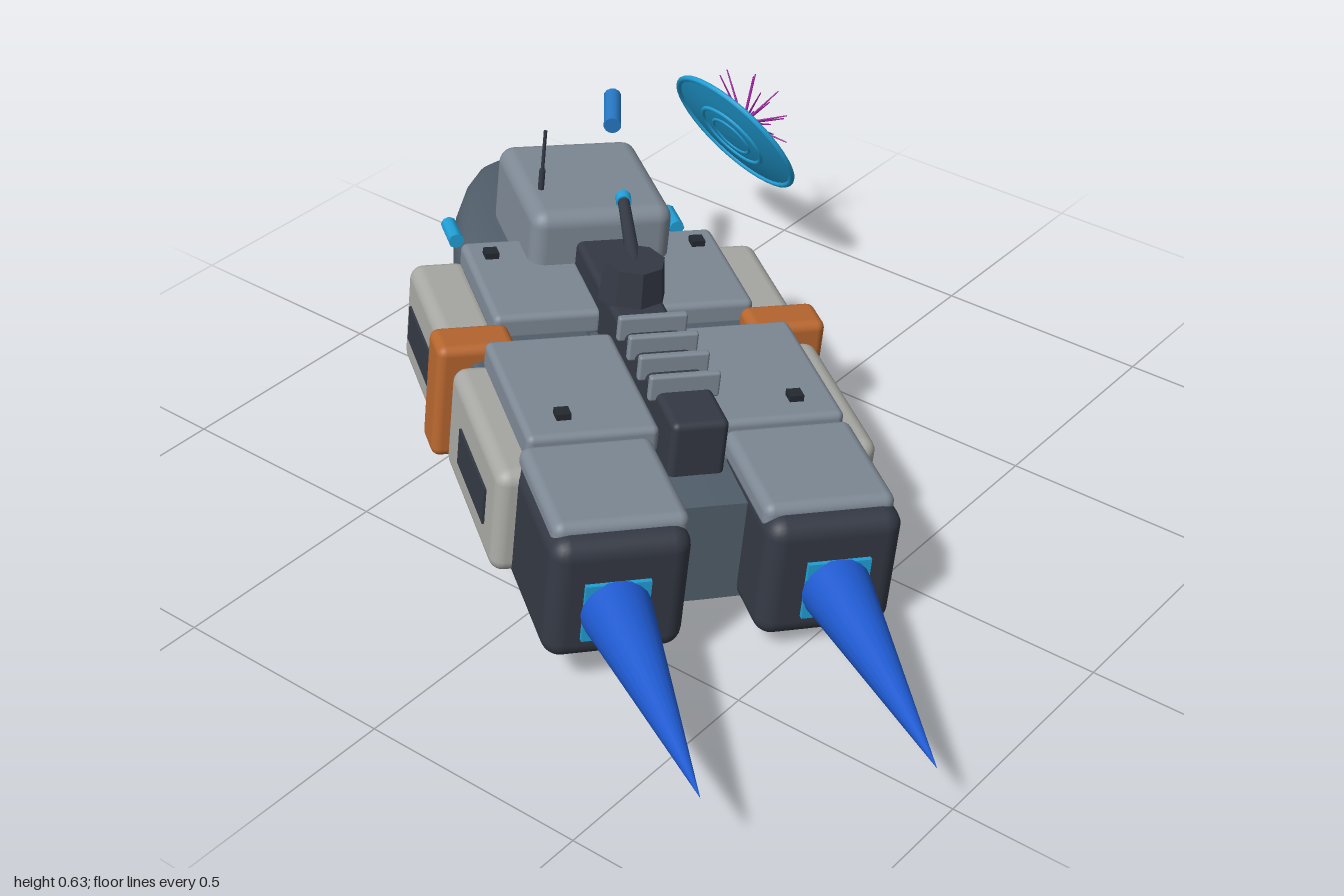
import * as THREE from 'three';
import { RoundedBoxGeometry } from 'three/addons/geometries/RoundedBoxGeometry.js';

const mat = (name, color, side = THREE.FrontSide) => {
  const m = new THREE.MeshStandardMaterial({ color, side });
  m.name = name;
  return m;
};

// Lofted hull: soft-cornered sections [z, halfWidth, bottom, top], rear to nose
function hullGeometry(sections, n = 32) {
  const pos = [], idx = [];
  const soft = (t) => Math.sign(t) * Math.pow(Math.abs(t), 0.5);
  const ring = ([z, hw, y0, y1]) => {
    for (let j = 0; j < n; j++) {
      const t = (j / n) * Math.PI * 2;
      pos.push(hw * soft(Math.cos(t)), (y0 + y1) / 2 + ((y1 - y0) / 2) * soft(Math.sin(t)), z);
    }
  };
  sections.forEach(ring);
  for (let i = 0; i < sections.length - 1; i++) {
    for (let j = 0; j < n; j++) {
      const a = i * n + j, b = i * n + ((j + 1) % n), c = a + n, d = b + n;
      idx.push(a, c, b, b, c, d);
    }
  }
  // end caps with their own vertices
  [sections[0], sections[sections.length - 1]].forEach((s, k) => {
    const base = pos.length / 3;
    ring(s);
    pos.push(0, (s[2] + s[3]) / 2, s[0]);
    for (let j = 0; j < n; j++) {
      const a = base + j, b = base + ((j + 1) % n);
      k ? idx.push(base + n, b, a) : idx.push(base + n, a, b);
    }
  });
  const g = new THREE.BufferGeometry();
  g.setAttribute('position', new THREE.Float32BufferAttribute(pos, 3));
  g.setIndex(idx);
  g.computeVertexNormals();
  return g;
}

export function createModel() {
  const hullGrey = mat('hull slate', 0x52606c);
  const deckGrey = mat('deck grey', 0x7f8a96);
  const panelGrey = mat('panel light grey', 0xa9a9a5);
  const dark = mat('engine charcoal', 0x343944);
  const black = mat('plate black', 0x252a32);
  const orange = mat('strap orange', 0xb8672f);
  const flameBlue = mat('flame blue', 0x1f5ad0);
  const cyan = mat('cyan', 0x22a0d8, THREE.DoubleSide);
  const tubeBlue = mat('tube blue', 0x2778c4);
  const purple = mat('purple', 0xa020a0);

  const model = new THREE.Group();
  model.name = 'spacecraft';
  const tilt = new THREE.Group();
  tilt.name = 'tiltedShip';
  tilt.rotation.order = 'YXZ';
  tilt.rotation.set(0, THREE.MathUtils.degToRad(-35), THREE.MathUtils.degToRad(-6));
  tilt.position.set(-0.092, 0.17, -0.064);
  const ship = new THREE.Group();
  ship.name = 'ship';
  ship.position.y = -0.17;
  tilt.add(ship);
  model.add(tilt);

  const add = (parent, name, geo, m, x = 0, y = 0, z = 0) => {
    const mesh = new THREE.Mesh(geo, m);
    mesh.name = name;
    mesh.position.set(x, y, z);
    parent.add(mesh);
    return mesh;
  };
  // box given by its limits on each axis, with rounded edges when r > 0
  const box = (name, m, [x0, x1], [y0, y1], [z0, z1], r = 0) => {
    const s = [x1 - x0, y1 - y0, z1 - z0];
    const geo = r ? new RoundedBoxGeometry(...s, 3, r) : new THREE.BoxGeometry(...s);
    return add(ship, name, geo, m, (x0 + x1) / 2, (y0 + y1) / 2, (z0 + z1) / 2);
  };
  // cylinder between two points
  const rod = (parent, name, m, a, b, r0, r1 = r0, seg = 12) => {
    const p = new THREE.Vector3(...a), d = new THREE.Vector3(...b).sub(p);
    const mesh = add(parent, name, new THREE.CylinderGeometry(r1, r0, d.length(), seg), m);
    mesh.position.copy(p).addScaledVector(d, 0.5);
    mesh.quaternion.setFromUnitVectors(new THREE.Vector3(0, 1, 0), d.normalize());
    return mesh;
  };

  // Main hull
  add(ship, 'hull', hullGeometry([
    [0.44, 0.25, 0.06, 0.29], [-0.5, 0.28, 0.055, 0.315], [-0.68, 0.262, 0.06, 0.31],
    [-0.85, 0.222, 0.075, 0.3], [-0.97, 0.172, 0.09, 0.288], [-1.05, 0.125, 0.11, 0.273],
    [-1.085, 0.09, 0.125, 0.26], [-1.1, 0.055, 0.14, 0.245],
  ]), hullGrey);

  // Paired side parts
  for (const s of [-1, 1]) {
    const side = s > 0 ? 'left' : 'right';
    const b = (name, m, [x0, x1], y, z, r) =>
      box(side + name, m, s > 0 ? [x0, x1] : [-x1, -x0], y, z, r);
    b('PodCore', hullGrey, [0.07, 0.36], [0.06, 0.31], [-0.5, 0.3], 0.02);
    b('Engine', dark, [0.075, 0.36], [0.05, 0.325], [0.24, 0.58], 0.04);
    b('RearDeckPlate', deckGrey, [0.075, 0.35], [0.285, 0.345], [0.25, 0.54], 0.022);
    b('MiddleDeckPlate', deckGrey, [0.06, 0.335], [0.3, 0.365], [-0.11, 0.265], 0.015);
    b('FrontDeckPlate', deckGrey, [0.05, 0.29], [0.3, 0.36], [-0.53, -0.2], 0.015);
    b('Strap', orange, [0.26, 0.43], [0.075, 0.345], [-0.212, -0.112], 0.02);
    for (const [z0, z1] of [[-0.54, -0.2], [-0.11, 0.31]]) {
      const mid = z0 < -0.3 ? -0.375 : 0.12;
      b('SidePanel', panelGrey, [0.27, 0.402], [0.07, 0.312], [z0, z1], 0.03);
      b('PanelWindow', dark, [0.4, 0.407], [0.145, 0.228], [mid - 0.112, mid + 0.112]);
    }
    b('FrontHatch', black, [0.222, 0.252], [0.355, 0.374], [-0.475, -0.445]);
    b('RearHatch', black, [0.232, 0.262], [0.36, 0.379], [0.18, 0.21]);
    b('KeelPad', black, [0.05, 0.255], [0.03, 0.075], [-0.5, 0], 0.01);
    b('Nozzle', cyan, [0.16, 0.292], [0.105, 0.235], [0.56, 0.59]);
    rod(ship, side + 'Flame', flameBlue, [s * 0.226, 0.17, 0.588], [s * 0.226, 0.17, 1.14], 0.072, 0, 20);
    rod(ship, side + 'NoseLight', cyan, [s * 0.262, 0.28, -0.67], [s * 0.262, 0.28, -0.752], 0.018, 0.018, 8);
  }

  // Cockpit with front window and aerial
  box('cockpit', deckGrey, [-0.16, 0.16], [0.28, 0.482], [-0.755, -0.405], 0.035);
  box('cockpitWindow', cyan, [-0.125, 0.125], [0.355, 0.44], [-0.761, -0.753]);
  rod(ship, 'aerialBase', dark, [-0.115, 0.47, -0.53], [-0.115, 0.53, -0.53], 0.007);
  rod(ship, 'aerial', dark, [-0.115, 0.52, -0.53], [-0.115, 0.625, -0.53], 0.004);

  // Spine with ribs
  box('spine', dark, [-0.06, 0.06], [0.28, 0.415], [-0.42, 0.335], 0.015);
  for (let i = 0; i < 4; i++) {
    const z = 0.205 - i * 0.077;
    box('spineRib', deckGrey, [-0.075, 0.075], [0.395, 0.452], [z - 0.009, z + 0.009], 0.006);
  }

  // Gun turret
  const turret = new THREE.CylinderGeometry(0.066, 0.074, 0.09, 8).toNonIndexed();
  turret.computeVertexNormals();
  add(ship, 'turret', turret, dark, 0, 0.45, -0.18);
  rod(ship, 'turretBarrel', dark, [0, 0.48, -0.18], [0.038, 0.507, -0.405], 0.016, 0.013);
  rod(ship, 'barrelTip', cyan, [0.038, 0.507, -0.405], [0.042, 0.51, -0.427], 0.017);

  // Loose tube ahead of the cockpit
  rod(model, 'looseTube', tubeBlue, [0.42, 0.525, -0.567], [0.515, 0.537, -0.645], 0.02);

  // Floating dish with rings and a spiky core
  const dish = new THREE.Group();
  dish.name = 'dish';
  dish.position.set(0.765, 0.39, -0.48);
  dish.quaternion.setFromUnitVectors(
    new THREE.Vector3(0, 1, 0), new THREE.Vector3(0.85, 0.49, 0.17).normalize());
  model.add(dish);
  const profile = [[0, -0.014], [0.06, -0.013], [0.12, -0.008], [0.178, 0.002]]
    .map(([x, y]) => new THREE.Vector2(x, y));
  add(dish, 'dishBowl', new THREE.LatheGeometry(profile, 40), cyan);
  for (const [r, y, t] of [[0.176, 0.001, 0.007], [0.09, -0.01, 0.006], [0.055, -0.012, 0.005]]) {
    add(dish, 'dishRing', new THREE.TorusGeometry(r, t, 8, 40), cyan, 0, y, 0).rotation.x = Math.PI / 2;
  }
  const core = [0, 0.03, 0];
  add(dish, 'dishCore', new THREE.SphereGeometry(0.024, 16, 12), purple, ...core);
  for (let i = 0; i < 16; i++) {
    const up = 0.97 - (i / 15) * 0.95, a = i * 2.4, r = Math.sqrt(1 - up * up);
    const len = 0.09 + 0.045 * ((i * 7) % 5) / 4;
    rod(dish, 'dishSpike', purple, core,
      [r * Math.cos(a) * len, 0.03 + up * len, r * Math.sin(a) * len], 0.0035, 0.0015, 6);
  }
  return model;
}
